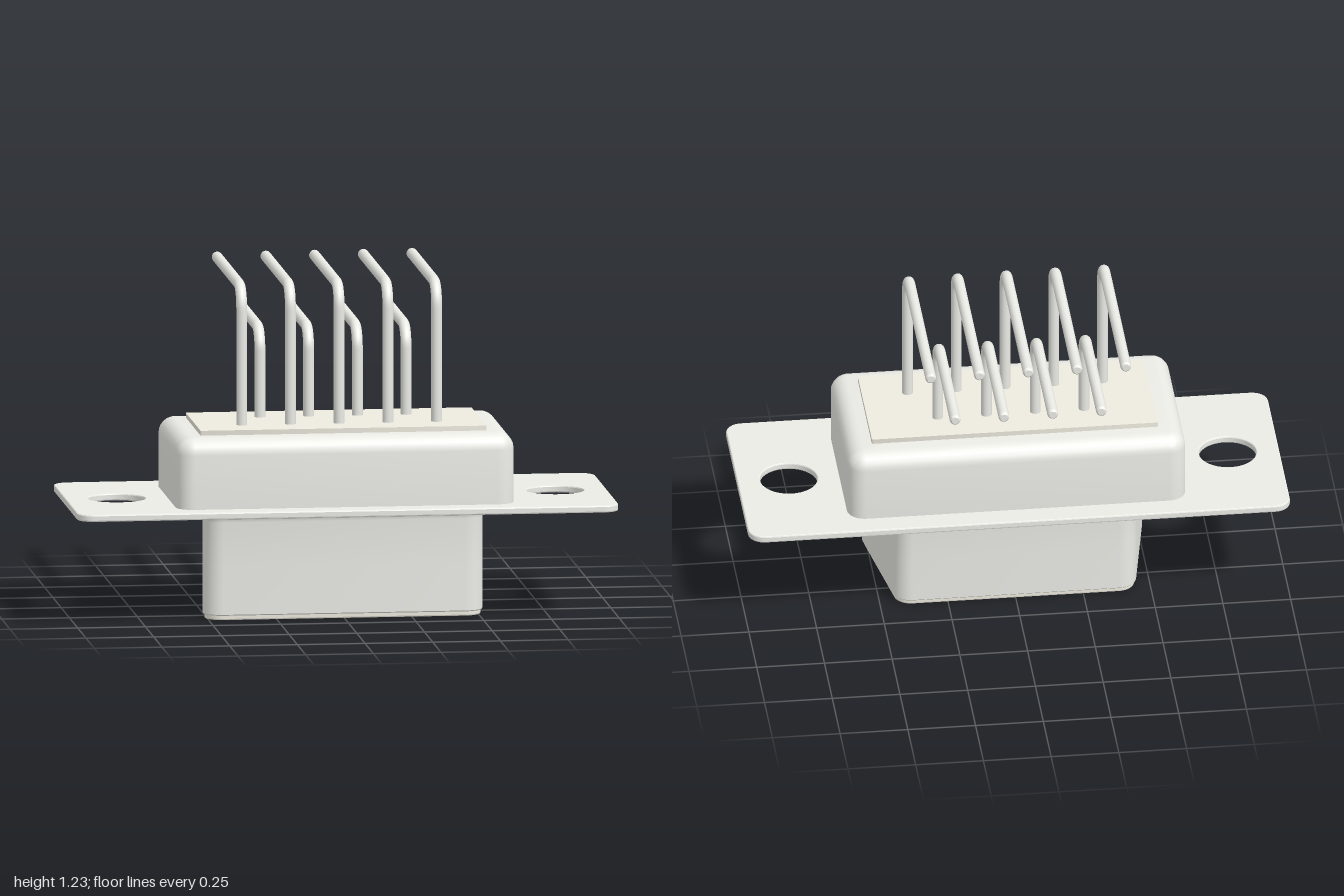
import * as THREE from 'three';
import { mergeGeometries, toCreasedNormals } from 'three/addons/utils/BufferGeometryUtils.js';

const metal = new THREE.MeshStandardMaterial({ color: 0xebebe6 });
const insulator = new THREE.MeshStandardMaterial({ color: 0xeeebdf });

// Corner list of a box footprint, counter-clockwise from above, as [x, -z]
const rect = (hx, back, front) => [[-hx, -front], [hx, -front], [hx, -back], [-hx, -back]];

// Convex polygon with rounded corners, grown or shrunk by off
function outline(corners, r, off = 0, steps = 8) {
  const pts = [];
  const n = corners.length;
  const normal = (a, b) => new THREE.Vector2(b[1] - a[1], a[0] - b[0]).normalize();
  corners.forEach((p, i) => {
    const n1 = normal(corners[(i + n - 1) % n], p);
    const n2 = normal(p, corners[(i + 1) % n]);
    const k = r / (1 + n1.dot(n2));
    const cx = p[0] - k * (n1.x + n2.x), cy = p[1] - k * (n1.y + n2.y);
    const a1 = n1.angle();
    const sweep = (n2.angle() - a1 + Math.PI * 2) % (Math.PI * 2);
    for (let s = 0; s <= steps; s++) {
      const a = a1 + (sweep * s) / steps;
      pts.push(new THREE.Vector2(cx + (r + off) * Math.cos(a), cy + (r + off) * Math.sin(a)));
    }
  });
  return pts;
}

// Stack the outline along a profile of [offset, y], rising, and close the top
function loft(corners, r, profile) {
  const pos = [], index = [];
  profile.forEach(([off, y]) => outline(corners, r, off).forEach(p => pos.push(p.x, y, -p.y)));
  const n = pos.length / 3 / profile.length;
  const top = (profile.length - 1) * n;
  for (let j = 0; j < profile.length - 1; j++) {
    for (let i = 0; i < n; i++) {
      const a = j * n + i, b = j * n + (i + 1) % n;
      index.push(a, b, b + n, a, b + n, a + n);
    }
  }
  const z = -(corners[0][1] + corners[2][1]) / 2;
  pos.push(0, profile[profile.length - 1][1], z);
  for (let i = 0; i < n; i++) index.push(pos.length / 3 - 1, top + i, top + (i + 1) % n);
  const g = new THREE.BufferGeometry();
  g.setAttribute('position', new THREE.Float32BufferAttribute(pos, 3));
  g.setIndex(index);
  return toCreasedNormals(g, 0.6);
}

// Horizontal plate from y0 to y1 with round holes [x, z, radius] and softened edges
function plate(points, holes, y0, y1, bevel) {
  const shape = new THREE.Shape(points);
  for (const [x, z, r] of holes) {
    shape.holes.push(new THREE.Path().absarc(x, -z, r, 0, Math.PI * 2, true));
  }
  const g = new THREE.ExtrudeGeometry(shape, {
    depth: y1 - y0 - 2 * bevel, curveSegments: 20, bevelEnabled: true,
    bevelThickness: bevel, bevelSize: bevel, bevelOffset: -bevel, bevelSegments: 2
  });
  g.rotateX(-Math.PI / 2).translate(0, y0 + bevel, 0);
  return toCreasedNormals(g, 0.3);
}

// Quarter-round profile points
const quarter = fn => Array.from({ length: 7 }, (_, i) => fn((i / 6) * Math.PI / 2));

// Bent pin: up, round the bend, then straight back, with a softened tip
function bentPin(x, z, yTop) {
  const r = 0.02, bend = 0.08, tipStart = -0.522;
  const path = new THREE.CurvePath();
  const V = (y, zz) => new THREE.Vector3(x, y, zz);
  const pts = [V(0.66, z), V(yTop - bend, z)];
  for (let i = 1; i <= 10; i++) {
    const a = (i / 10) * Math.PI / 2;
    pts.push(V(yTop - bend + bend * Math.sin(a), z - bend + bend * Math.cos(a)));
  }
  pts.push(V(yTop, tipStart));
  for (let i = 1; i < pts.length; i++) path.add(new THREE.LineCurve3(pts[i - 1], pts[i]));
  const tube = new THREE.TubeGeometry(path, 90, r, 14, false).toNonIndexed();
  const tip = new THREE.LatheGeometry(
    [[r, 0], [r * 0.92, 0.006], [r * 0.7, 0.01], [0, 0.01]].map(p => new THREE.Vector2(...p)), 14);
  tip.rotateX(-Math.PI / 2).translate(x, yTop, tipStart);
  return mergeGeometries([tube, toCreasedNormals(tip, 0.6)]);
}

export function createModel() {
  const model = new THREE.Group();
  const add = (name, geometry, material = metal) => {
    const mesh = new THREE.Mesh(geometry, material);
    mesh.name = name;
    model.add(mesh);
  };

  // Mounting flange with two screw holes
  add('flange', plate(outline(rect(1, -0.28, 0.53), 0.06),
    [[-0.81, 0.122, 0.105], [0.81, 0.122, 0.105]], 0.398, 0.424, 0.005));

  // Rear housing with a rounded top edge, and the raised plate on it
  const R = 0.06;
  add('rearHousing', loft(rect(0.624, -0.195, 0.449), 0.065, [[0, 0.415],
    ...quarter(a => [R * (Math.cos(a) - 1), 0.684 - R + R * Math.sin(a)])]));
  add('rearPlate', loft(rect(0.528, -0.097, 0.352), 0.004, [[0, 0.67], [0, 0.702]]), insulator);

  // Tapered D-shaped plug shell, flaring into the flange
  const dShape = [[-0.53, -0.386], [0.53, -0.386], [0.44, 0.13], [-0.44, 0.13]];
  const f = 0.035;
  add('plugShell', loft(dShape, 0.07, [[-0.015, 0.019], [-0.004, 0.019], [0, 0.023], [0, 0.2],
    ...quarter(a => [f * (1 - Math.cos(a)), 0.4 - f + f * Math.sin(a)])]));

  // Contacts: a row of five in front and a row of four behind
  const holes = [];
  const addRow = (row, count, z, top) => {
    for (let i = 0; i < count; i++) {
      const x = (i - (count - 1) / 2) * 0.18;
      const socketZ = z - 0.02;
      holes.push([x, socketZ, 0.024]);
      add(`${row}SocketContact${i + 1}`,
        new THREE.CylinderGeometry(0.03, 0.03, 0.06, 16).translate(x, 0.1, socketZ));
      add(`${row}BentPin${i + 1}`, bentPin(x, z, top));
    }
  };
  addRow('front', 5, 0.22, 1.212);
  addRow('back', 4, 0.035, 1.028);

  // Socket face with contact holes
  add('socketFace', plate(outline(dShape, 0.07, -0.007), holes, 0.002, 0.12, 0.005), insulator);
  return model;
}
